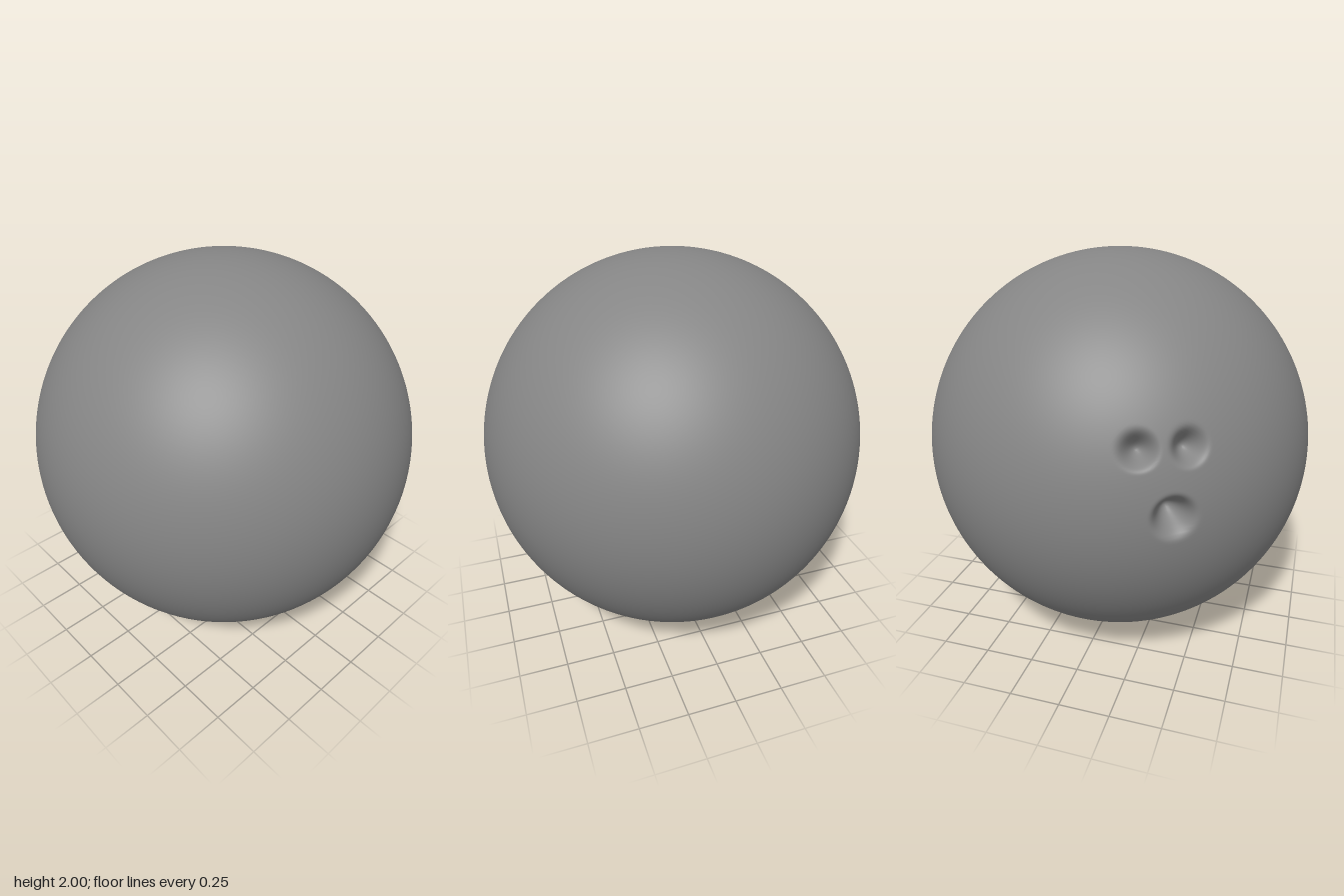
import * as THREE from 'three';
import { mergeVertices } from 'three/addons/utils/BufferGeometryUtils.js';

// Unit direction: azimuth measured from the back (-z) towards -x, latitude upwards
function direction(azimuthDeg, latitudeDeg) {
  const a = THREE.MathUtils.degToRad(azimuthDeg);
  const l = THREE.MathUtils.degToRad(latitudeDeg);
  return new THREE.Vector3(-Math.sin(a) * Math.cos(l), Math.sin(l), -Math.cos(a) * Math.cos(l));
}

// Two finger holes side by side and a larger thumb hole below
const HOLES = [
  { dir: direction(21.3, 17.5), radius: 0.107, depth: 0.1 },
  { dir: direction(34.3, 17.5), radius: 0.107, depth: 0.1 },
  { dir: direction(30, 0.3), radius: 0.125, depth: 0.14 },
];

// Sphere whose pole sits at the grip, with rings growing denser towards it
function ballGeometry() {
  const RINGS = 140;
  const profile = [];
  for (let i = RINGS; i >= 0; i--) {
    const angle = Math.PI * (i / RINGS) ** 1.8;
    profile.push(new THREE.Vector2(Math.sin(angle), Math.cos(angle)));
  }

  let geometry = new THREE.LatheGeometry(profile, 160);
  geometry.deleteAttribute('uv');
  geometry.deleteAttribute('normal');
  geometry = mergeVertices(geometry, 1e-5);
  const up = new THREE.Vector3(0, 1, 0);
  geometry.applyQuaternion(new THREE.Quaternion().setFromUnitVectors(up, direction(28.5, 10)));

  // Press the soft-edged holes into the surface
  const pos = geometry.attributes.position;
  const v = new THREE.Vector3();
  for (let i = 0; i < pos.count; i++) {
    v.fromBufferAttribute(pos, i);
    for (const { dir, radius, depth } of HOLES) {
      const t = v.distanceTo(dir) / radius;
      if (t < 1) {
        v.addScaledVector(dir, -depth * (1 - t * t) ** 3);
        break;
      }
    }
    pos.setXYZ(i, v.x, v.y, v.z);
  }
  geometry.computeVertexNormals();
  return geometry;
}

export function createModel() {
  const group = new THREE.Group();
  group.name = 'bowlingBall';
  const ball = new THREE.Mesh(ballGeometry(), new THREE.MeshStandardMaterial({ color: 0x858585 }));
  ball.name = 'ballWithFingerHoles';
  ball.position.y = 1;
  group.add(ball);
  return group;
}
